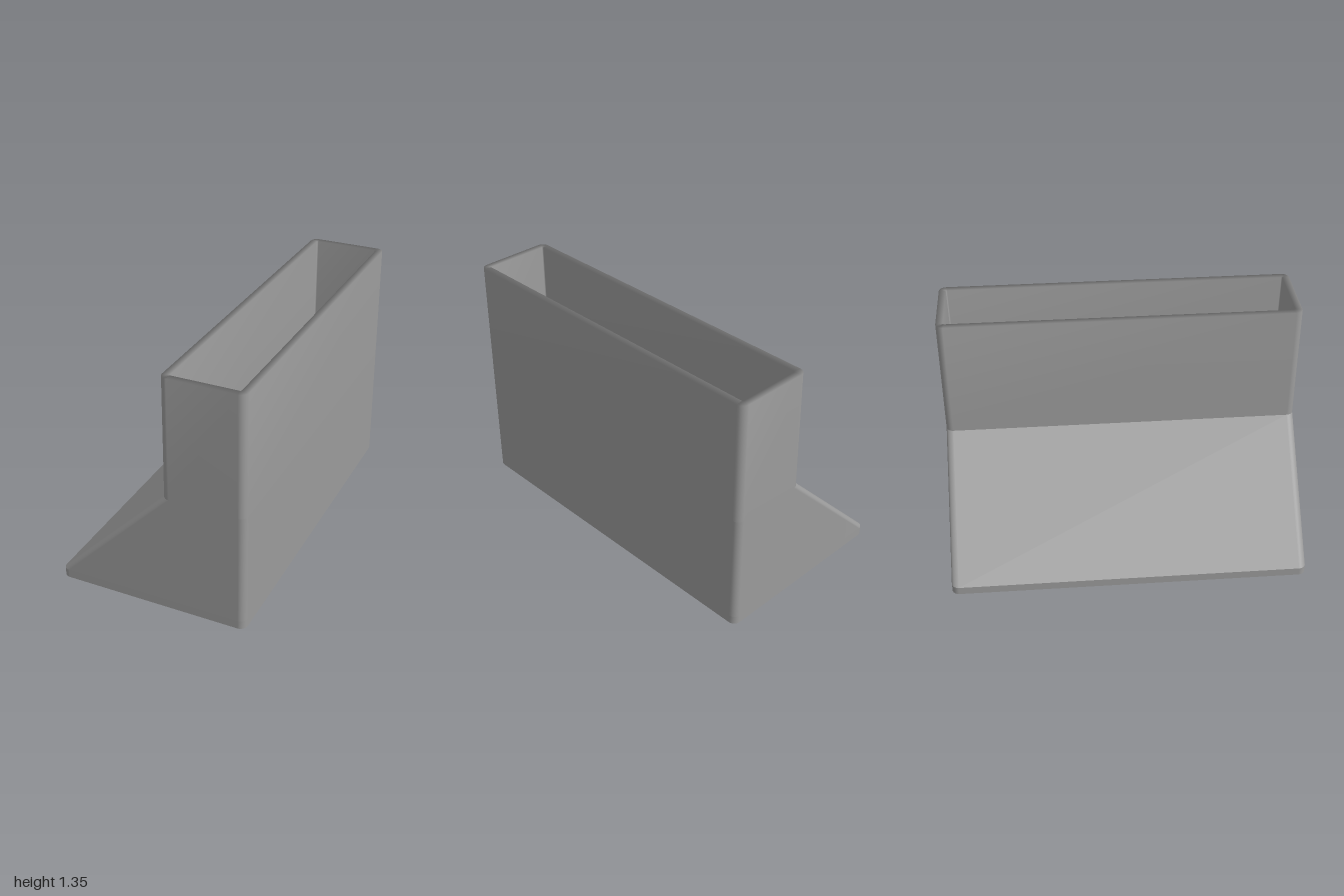
import * as THREE from 'three';

const CORNER_STEPS = 6;

// Rounded-rectangle cross-section at height y, from x0 to x1 and -hz to hz
function ring({ y, x0, x1, hz, r }) {
  const corners = [[x1 - r, hz - r], [x0 + r, hz - r], [x0 + r, r - hz], [x1 - r, r - hz]];
  const points = [];
  corners.forEach(([cx, cz], q) => {
    for (let i = 0; i <= CORNER_STEPS; i++) {
      const a = (q + i / CORNER_STEPS) * Math.PI / 2;
      points.push([cx + r * Math.cos(a), y, cz + r * Math.sin(a)]);
    }
  });
  return points;
}

// Smooth skin through a run of cross-sections, sharp at its two ends
function skin(name, sections, material) {
  const rings = sections.map(ring);
  const n = rings[0].length;
  const index = [];
  for (let s = 0; s < rings.length - 1; s++) {
    for (let i = 0; i < n; i++) {
      const a = s * n + i, b = s * n + (i + 1) % n;
      index.push(a, a + n, b, b, a + n, b + n);
    }
  }
  const geometry = new THREE.BufferGeometry();
  geometry.setAttribute('position', new THREE.Float32BufferAttribute(rings.flat(2), 3));
  geometry.setIndex(index);
  geometry.computeVertexNormals();
  const mesh = new THREE.Mesh(geometry, material);
  mesh.name = name;
  return mesh;
}

export function createModel() {
  const group = new THREE.Group();
  group.name = 'hollowChute';
  const material = new THREE.MeshStandardMaterial({ color: 0x9b9b9b });

  // Outer wall sections
  const outerBase = { y: 0, x0: -0.54, x1: 0.538, hz: 1, r: 0.04 };
  const outerToe = { y: 0.047, x0: -0.54, x1: 0.538, hz: 1, r: 0.04 };
  const outerBend = { y: 0.675, x0: 0.083, x1: 0.536, hz: 0.998, r: 0.04 };
  const outerTop = { y: 1.35, x0: 0.087, x1: 0.533, hz: 0.995, r: 0.04 };
  // Inner wall sections
  const innerTop = { y: 1.35, x0: 0.126, x1: 0.493, hz: 0.956, r: 0.008 };
  const innerBend = { y: 0.66, x0: 0.133, x1: 0.485, hz: 0.949, r: 0.008 };
  const innerToe = { y: 0.03, x0: -0.515, x1: 0.515, hz: 0.978, r: 0.02 };
  const innerBase = { y: 0, x0: -0.518, x1: 0.517, hz: 0.98, r: 0.02 };

  // Closed circuit: up the outside, over the softened rim, down the inside, under the foot
  group.add(
    skin('outerFoot', [outerBase, outerToe], material),
    skin('outerHopper', [outerToe, outerBend], material),
    skin('neckAndRim', [outerBend, outerTop, innerTop, innerBend], material),
    skin('innerHopper', [innerBend, innerToe], material),
    skin('innerFoot', [innerToe, innerBase], material),
    skin('bottomRim', [innerBase, outerBase], material),
  );
  return group;
}
